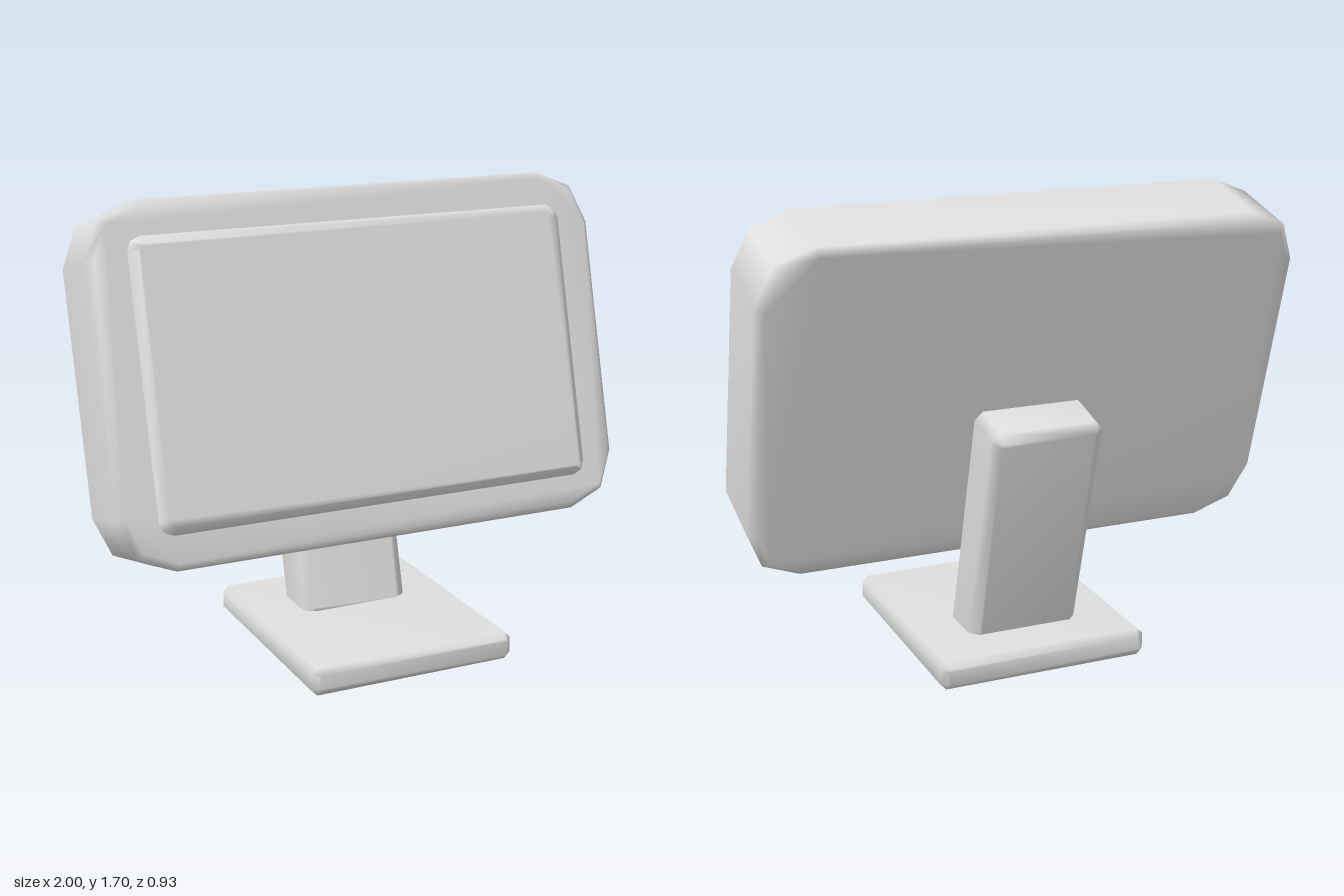
import * as THREE from 'three';
import { mergeVertices } from 'three/addons/utils/BufferGeometryUtils.js';

const TILT = THREE.MathUtils.degToRad(15);

// Block with rounded corners in XY (a few flat segments) and one chamfer on both ends.
// Spans x +-w/2, y from y0 to y1, z from z0 to z1; normals are smooth and area weighted.
function bevelledBlock(w, y0, y1, z0, z1, radius, segments, bevel) {
  const points = [];
  const cy = (y0 + y1) / 2, hx = w / 2 - radius, hy = (y1 - y0) / 2 - radius;
  [[1, 1], [-1, 1], [-1, -1], [1, -1]].forEach(([sx, sy], corner) => {
    for (let i = 0; i <= segments; i++) {
      const a = (corner + i / segments) * Math.PI / 2;
      points.push(new THREE.Vector2(
        sx * hx + radius * Math.cos(a),
        cy + sy * hy + radius * Math.sin(a)));
    }
  });
  const extruded = new THREE.ExtrudeGeometry(new THREE.Shape(points), {
    depth: z1 - z0 - 2 * bevel,
    bevelThickness: bevel, bevelSize: bevel, bevelOffset: -bevel, bevelSegments: 1,
  });
  extruded.translate(0, 0, z0 + bevel);
  extruded.deleteAttribute('uv');
  extruded.deleteAttribute('normal');
  const smooth = mergeVertices(extruded, 1e-4);
  smooth.computeVertexNormals();
  return smooth;
}

export function createModel() {
  const model = new THREE.Group();
  model.name = 'monitor';
  const plastic = new THREE.MeshStandardMaterial({ color: 0xe0dfde });
  plastic.name = 'light grey plastic';

  const add = (parent, name, geometry) => {
    const mesh = new THREE.Mesh(geometry, plastic);
    mesh.name = name;
    parent.add(mesh);
  };

  // Flat foot on the table
  add(model, 'base', bevelledBlock(0.8, 0, 0.105, -0.44, 0.467, 0.022, 1, 0.022));

  // Everything above the foot leans back together
  const tilted = new THREE.Group();
  tilted.name = 'tiltedHead';
  tilted.rotation.x = -TILT;
  model.add(tilted);

  // Housing, raised screen panel and the arm behind
  add(tilted, 'housing', bevelledBlock(2, 0.384, 1.676, 0, 0.345, 0.2, 2, 0.028));
  add(tilted, 'screenPanel', bevelledBlock(1.71, 0.512, 1.548, 0.3, 0.382, 0.05, 2, 0.03));
  add(tilted, 'standArm', bevelledBlock(0.424, 0.08, 1.016, -0.214, -0.002, 0.03, 1, 0.03));

  return model;
}
